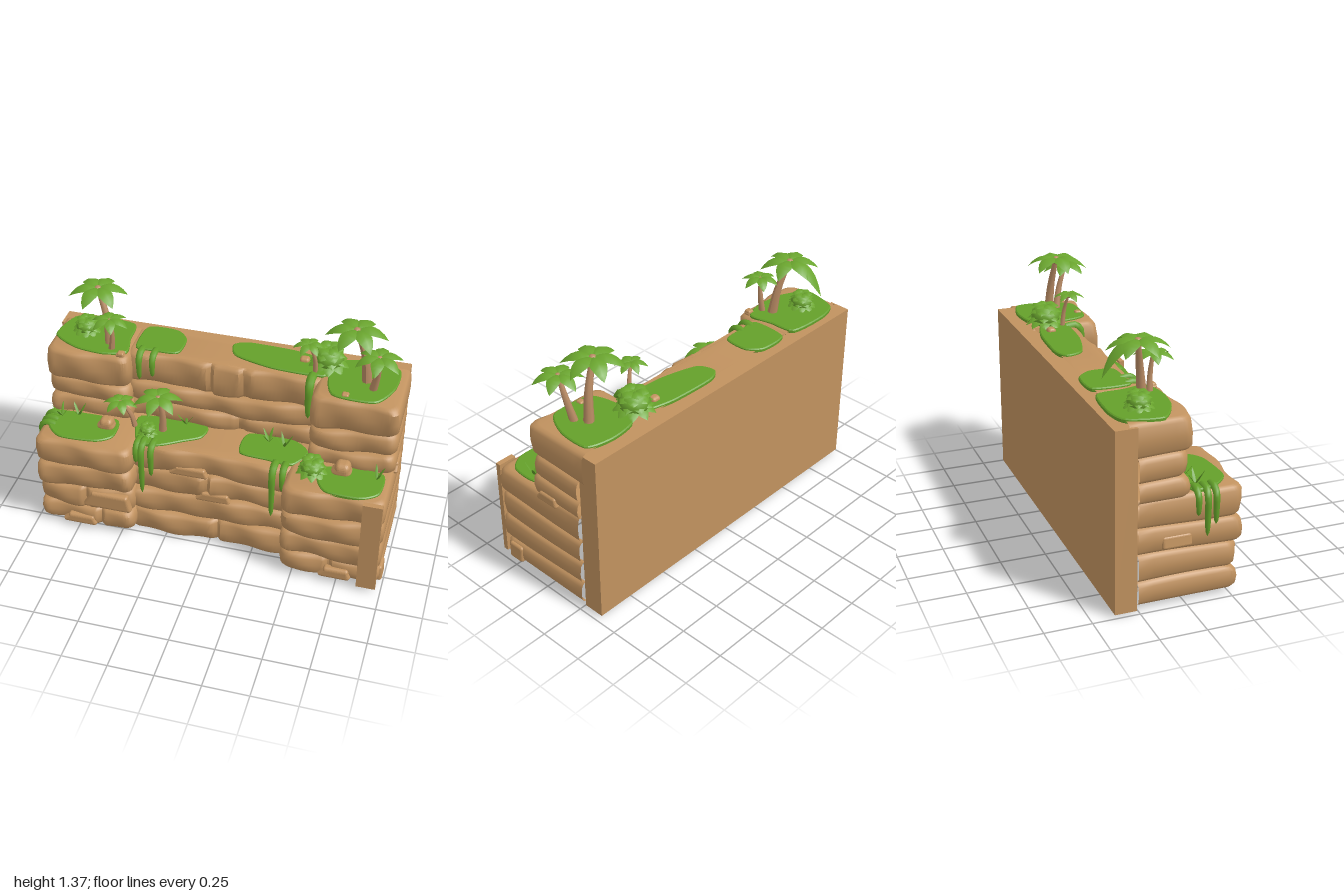
import * as THREE from 'three';
import { toCreasedNormals } from 'three/addons/utils/BufferGeometryUtils.js';
import { RoundedBoxGeometry } from 'three/addons/geometries/RoundedBoxGeometry.js';

const mat = (name, color) => new THREE.MeshStandardMaterial({ name, color, side: THREE.DoubleSide });
const rock = mat('rock', 0xc1925f), bark = mat('bark', 0xb98b64);
const grass = mat('grass', 0x64a02a), foliage = mat('foliage', 0x6aa52e);

function meshOf(name, geo, material, parent, x = 0, y = 0, z = 0) {
  const m = new THREE.Mesh(geo, material);
  m.name = name;
  m.position.set(x, y, z);
  parent.add(m);
  return m;
}

function indexed(pos, idx) {
  const g = new THREE.BufferGeometry();
  g.setAttribute('position', new THREE.Float32BufferAttribute(pos, 3));
  g.setIndex(idx);
  return g;
}

// Plan outline of a cliff block: back left, round the front, to back right
function outline(x0, x1, zb, zf, r) {
  const p = [];
  for (let i = 0; i < 6; i++) p.push([x0, zb + (zf - r - zb) * i / 6]);
  for (let i = 0; i < 6; i++) {
    const a = Math.PI / 2 * i / 6;
    p.push([x0 + r - r * Math.cos(a), zf - r + r * Math.sin(a)]);
  }
  const half = p.slice();
  for (let i = 0; i <= 44; i++) p.push([x0 + r + (x1 - x0 - 2 * r) * i / 44, zf]);
  return p.concat(half.reverse().map(([x, z]) => [x0 + x1 - x, z]));
}

// Hollow block of stacked, rounded rock courses with a flat top and open bottom
function cliff(name, parent, { x0, x1, zb, zf, levels, seams, seed, topBack = zb }) {
  const pos = [], idx = [], last = levels.length - 2;
  let n = 0, rows = 0;
  for (let c = 0; c <= last; c++) {
    const y0 = levels[c], y1 = levels[c + 1], k = seed + c * 2.3;
    const push = 0.012 * Math.sin(k * 5);
    const profile = [[y0, 0.03], [y0 + 0.008, 0.011], [y0 + 0.025, 0], [(y0 + y1) / 2, -0.004],
      [y1 - 0.025, 0], [y1 - 0.008, 0.011], [y1, 0.03]];
    for (const [y, d] of profile) {
      const pts = outline(x0 + d, x1 - d, c === last ? topBack : zb, zf - d + push, 0.05);
      const v = (y - y0) / (y1 - y0);
      n = pts.length;
      for (const [x, z] of pts) {
        const front = THREE.MathUtils.smoothstep(z, zf - 0.12, zf - 0.03);
        const groove = seams[c].reduce((s, q) => Math.max(s, 1 - Math.abs(x - q) / 0.025), 0);
        const bump = 0.009 * Math.sin(x * 11 + k) + 0.006 * Math.sin(x * 23 + y * 20 + k * 3);
        const lo = c ? 0.009 * Math.sin(x * 7 + z * 5 + seed + c) : 0;
        const hi = c < last ? 0.009 * Math.sin(x * 7 + z * 5 + seed + c + 1) : 0;
        pos.push(x, y + lo * (1 - v) + hi * v, z + front * (bump - 0.025 * groove));
      }
      rows++;
    }
  }
  for (let j = 0; j < rows - 1; j++) for (let i = 0; i < n - 1; i++) {
    const a = j * n + i, b = a + n;
    idx.push(a, a + 1, b + 1, a, b + 1, b);
  }
  // Top surface joins each left point to its mirrored right point
  const t = (rows - 1) * n;
  for (let i = 0; i < (n - 1) / 2; i++) {
    const a = t + i, m = t + n - 1 - i;
    idx.push(a, a + 1, m - 1, a, m - 1, m);
  }
  meshOf(name, toCreasedNormals(indexed(pos, idx), 0.7), rock, parent);
}

// Grass mat with a smooth outline given as x, z pairs
function patch(parent, y, pts) {
  const s = new THREE.Shape();
  const c = new THREE.CatmullRomCurve3(pts.map(([x, z]) => new THREE.Vector3(x, -z, 0)), true, 'catmullrom', 0.35);
  s.setFromPoints(c.getPoints(40).slice(0, 40).map(p => new THREE.Vector2(p.x, p.y)));
  const g = new THREE.ExtrudeGeometry(s, { depth: 0.014, bevelEnabled: true, bevelSize: 0.006, bevelThickness: 0.005, bevelSegments: 1 });
  meshOf('grassPatch', g.rotateX(-Math.PI / 2), grass, parent, 0, y - 0.008, 0);
}

// Tube whose radius follows a rule along its length
function taper(name, parent, material, pts, radius, sides = 8) {
  const curve = new THREE.CatmullRomCurve3(pts.map(p => new THREE.Vector3(...p)));
  const seg = 12, g = new THREE.TubeGeometry(curve, seg, 1, sides);
  const p = g.attributes.position, v = new THREE.Vector3();
  for (let i = 0; i < p.count; i++) {
    const t = Math.floor(i / (sides + 1)) / seg, c = curve.getPointAt(t);
    v.fromBufferAttribute(p, i).sub(c).multiplyScalar(radius(t)).add(c);
    p.setXYZ(i, v.x, v.y, v.z);
  }
  g.computeVertexNormals();
  meshOf(name, g, material, parent);
}

// Creeper that runs over an edge and hangs to yEnd; dx, dz point outward
function vine(parent, x, y, z, yEnd, dx = 0, dz = 1, r = 0.021) {
  const at = (d, h) => [x + dx * d, h, z + dz * d];
  taper('hangingVine', parent, grass, [at(-0.07, y), at(-0.02, y + 0.008), at(0.012, y - 0.02), at(0.016, (y + yEnd) / 2), at(0.014, yEnd)],
    t => r * (1 - 0.35 * t) * Math.sqrt(Math.max(0, 1 - Math.pow(t, 10))));
}

// Folded, curved leaf pointing along +x
function leafGeometry(len, w, rise, droop) {
  const pos = [], idx = [], n = 6;
  for (let i = 0; i <= n; i++) {
    const t = i / n, h = w * Math.pow(Math.sin(Math.PI * Math.pow(t, 0.8)), 0.8) + 0.002 * (1 - t);
    const x = len * t * (1 - 0.12 * t), y = rise * t - droop * t * t;
    pos.push(x, y - 0.35 * h, -h, x, y, 0, x, y - 0.35 * h, h);
    if (i < n) for (const k of [0, 1]) {
      const a = i * 3 + k;
      idx.push(a, a + 1, a + 4, a, a + 4, a + 3);
    }
  }
  const g = indexed(pos, idx);
  g.computeVertexNormals();
  return g;
}

function leafRing(name, parent, n, turn, y, args) {
  const g = leafGeometry(...args);
  for (let i = 0; i < n; i++) meshOf(name, g, foliage, parent, 0, y, 0).rotation.y = turn + i * 2 * Math.PI / n;
}

// Palm from base to crown with leaves of the given reach
function palm(parent, base, top, reach, turn) {
  const g = new THREE.Group();
  g.name = 'palm';
  parent.add(g);
  const mid = [base[0] * 0.6 + top[0] * 0.4 + 0.01, (base[1] + top[1]) / 2, base[2] * 0.6 + top[2] * 0.4];
  taper('palmTrunk', g, bark, [base, mid, top], t => reach * (0.17 - 0.09 * t));
  const crown = new THREE.Group();
  crown.name = 'palmCrown';
  crown.position.set(...top);
  g.add(crown);
  meshOf('crownBulb', new THREE.SphereGeometry(reach * 0.14, 10, 8), bark, crown, 0, -0.012, 0);
  leafRing('palmLeaf', crown, 6, turn, 0, [reach * 1.1, reach * 0.25, reach * 0.55, reach * 0.85]);
  return crown;
}

// Leafy rosette bush
function bush(parent, x, y, z, r) {
  const g = new THREE.Group();
  g.name = 'bush';
  g.position.set(x, y, z);
  parent.add(g);
  meshOf('bushCore', new THREE.SphereGeometry(r * 0.72, 12, 8), foliage, g, 0, r * 0.5, 0).scale.y = 0.8;
  for (let k = 0; k < 4; k++)
    leafRing('bushLeaf', g, 9 - k, k * 0.37, r * (0.35 + 0.22 * k), [r * (1.12 - 0.12 * k), r * 0.32, r * 0.55, r * (0.85 - 0.1 * k)]);
}

function tuft(parent, x, y, z) {
  for (let i = 0; i < 4; i++)
    meshOf('grassBlade', leafGeometry(0.055, 0.007, 0.09, 0.02), grass, parent, x, y, z).rotation.y = i * 1.7 + x * 9;
}

function stone(parent, x, y, z, w, h, d, turn = 0) {
  const g = new RoundedBoxGeometry(w, h, d, 3, Math.min(w, h, d) * 0.4);
  const p = g.attributes.position;
  for (let i = 0; i < p.count; i++) if (p.getY(i) > 0) p.setX(i, p.getX(i) * 0.78 + 0.05 * w);
  g.computeVertexNormals();
  meshOf('stone', g, rock, parent, x, y, z).rotation.y = turn;
}

export function createModel() {
  const model = new THREE.Group();
  model.name = 'rockTerrace';

  // Back wall and corner post
  meshOf('backWall', new THREE.BoxGeometry(1.96, 0.98, 0.117), rock, model, -0.01, 0.51, -0.322);
  meshOf('cornerPost', new THREE.BoxGeometry(0.105, 0.58, 0.03), rock, model, 0.92, 0.32, 0.367);

  // Lower and upper terraces
  const low = [0.03, 0.155, 0.3, 0.445, 0.605], high = [0.585, 0.7, 0.825, 1.015];
  cliff('lowerLeftCliff', model, { x0: -0.975, x1: -0.425, zb: -0.25, zf: 0.3, levels: low, seams: [[-0.62], [-0.7], [], []], seed: 1 });
  cliff('lowerMiddleCliff', model, { x0: -0.47, x1: 0.48, zb: -0.25, zf: 0.215, levels: [0.005, 0.155, 0.3, 0.445, 0.6], seams: [[0.04], [], [-0.02], []], seed: 4 });
  cliff('lowerRightCliff', model, { x0: 0.43, x1: 0.98, zb: -0.25, zf: 0.355, levels: low, seams: [[0.7], [], [], []], seed: 2 });
  cliff('upperLeftCliff', model, { x0: -0.98, x1: -0.51, zb: -0.25, topBack: -0.3, zf: 0.025, levels: high, seams: [[], [], []], seed: 6 });
  cliff('upperMiddleCliff', model, { x0: -0.55, x1: 0.55, zb: -0.25, topBack: -0.3, zf: -0.06, levels: high, seams: [[0.1], [], [-0.07, 0.12]], seed: 3 });
  cliff('upperRightCliff', model, { x0: 0.51, x1: 0.98, zb: -0.25, topBack: -0.3, zf: 0.095, levels: high, seams: [[], [], []], seed: 5 });

  // Loose stones and protruding slabs: x, y, z, width, height, depth
  [[0.71, 0.63, 0.14, 0.11, 0.09, 0.09], [-0.62, 0.63, 0.1, 0.1, 0.08, 0.08], [0.41, 1.02, -0.23, 0.07, 0.05, 0.05],
    [-0.56, 1.025, -0.02, 0.05, 0.03, 0.04], [0.68, 1.02, 0.02, 0.05, 0.03, 0.04], [-0.74, 0.065, 0.285, 0.2, 0.065, 0.05],
    [0.74, 0.07, 0.345, 0.18, 0.07, 0.05], [-0.57, 0.23, 0.285, 0.28, 0.11, 0.05], [-0.12, 0.475, 0.2, 0.22, 0.06, 0.04],
    [0.02, 0.32, 0.2, 0.2, 0.06, 0.04], [0.975, 0.08, 0.26, 0.04, 0.1, 0.1], [-0.97, 0.36, -0.05, 0.04, 0.07, 0.16],
  ].forEach(s => stone(model, ...s));
  stone(model, 0.975, 0.605, -0.025, 0.15, 0.06, 0.04, Math.PI / 2);

  // Grass on the upper terrace
  patch(model, 1.015, [[-0.92, -0.3], [-0.8, -0.34], [-0.58, -0.32], [-0.56, -0.18], [-0.54, -0.05], [-0.66, -0.01], [-0.82, -0.03], [-0.96, -0.12]]);
  patch(model, 1.015, [[-0.49, -0.31], [-0.33, -0.32], [-0.26, -0.25], [-0.27, -0.12], [-0.4, -0.11], [-0.5, -0.12]]);
  patch(model, 1.015, [[0.01, -0.27], [0.09, -0.31], [0.36, -0.3], [0.52, -0.25], [0.54, -0.12], [0.27, -0.12], [0.05, -0.18]]);
  patch(model, 1.015, [[0.62, -0.28], [0.78, -0.31], [0.92, -0.27], [0.92, -0.1], [0.84, 0.04], [0.62, 0.03], [0.57, -0.12]]);
  // Grass on the lower terrace
  patch(model, 0.605, [[-0.95, 0.05], [-0.8, 0.03], [-0.58, 0.04], [-0.56, 0.18], [-0.64, 0.24], [-0.84, 0.25], [-0.93, 0.17]]);
  patch(model, 0.6, [[-0.46, -0.04], [-0.1, -0.05], [-0.09, 0.05], [-0.18, 0.11], [-0.3, 0.18], [-0.42, 0.17]]);
  patch(model, 0.6, [[0.16, -0.04], [0.4, -0.05], [0.5, 0.03], [0.44, 0.15], [0.3, 0.14], [0.15, 0.12]]);
  patch(model, 0.605, [[0.63, 0.13], [0.78, 0.1], [0.93, 0.12], [0.93, 0.27], [0.84, 0.33], [0.66, 0.32], [0.6, 0.23]]);

  // Hanging vines
  [[-0.465, 1.01, -0.055, 0.86], [-0.39, 1.01, -0.055, 0.89], [0.48, 1.01, -0.05, 0.785, 0, 1, 0.026],
    [-0.38, 0.605, 0.22, 0.29], [-0.325, 0.605, 0.22, 0.42], [-0.41, 0.605, 0.22, 0.5], [0.355, 0.605, 0.225, 0.29], [0.41, 0.605, 0.225, 0.48],
    [-0.968, 0.605, 0.06, 0.48, -1, 0], [-0.968, 0.605, 0.11, 0.36, -1, 0], [-0.968, 0.605, 0.155, 0.42, -1, 0],
  ].forEach(v => vine(model, ...v));

  // Palms
  const tall = palm(model, [-0.65, 1.01, -0.11], [-0.72, 1.335, -0.16], 0.165, 0.3);
  meshOf('longPalmLeaf', leafGeometry(0.23, 0.045, 0.07, 0.23), foliage, tall).rotation.y = 1.75;
  palm(model, [-0.625, 1.01, -0.06], [-0.62, 1.225, -0.04], 0.11, 0.9);
  palm(model, [0.77, 1.01, -0.13], [0.7, 1.355, -0.1], 0.17, 0.1);
  palm(model, [0.81, 1.01, -0.07], [0.84, 1.275, 0.0], 0.135, 0.5);
  palm(model, [0.49, 1.01, -0.14], [0.455, 1.215, -0.11], 0.09, 0.2);
  palm(model, [-0.31, 0.6, 0.05], [-0.325, 0.845, 0.07], 0.14, 0.4);
  palm(model, [-0.47, 0.6, 0.05], [-0.54, 0.785, 0.08], 0.1, 0.0);

  // Bushes and grass tufts
  bush(model, -0.81, 1.015, -0.19, 0.085);
  bush(model, 0.545, 1.015, -0.22, 0.115);
  bush(model, 0.56, 0.605, 0.19, 0.09);
  bush(model, -0.38, 0.605, 0.1, 0.06);
  [[-0.89, 0.08], [-0.8, 0.05], [-0.2, -0.03], [0.28, 0.0], [0.37, 0.02], [0.9, 0.16]].forEach(([x, z]) => tuft(model, x, 0.61, z));
  return model;
}
